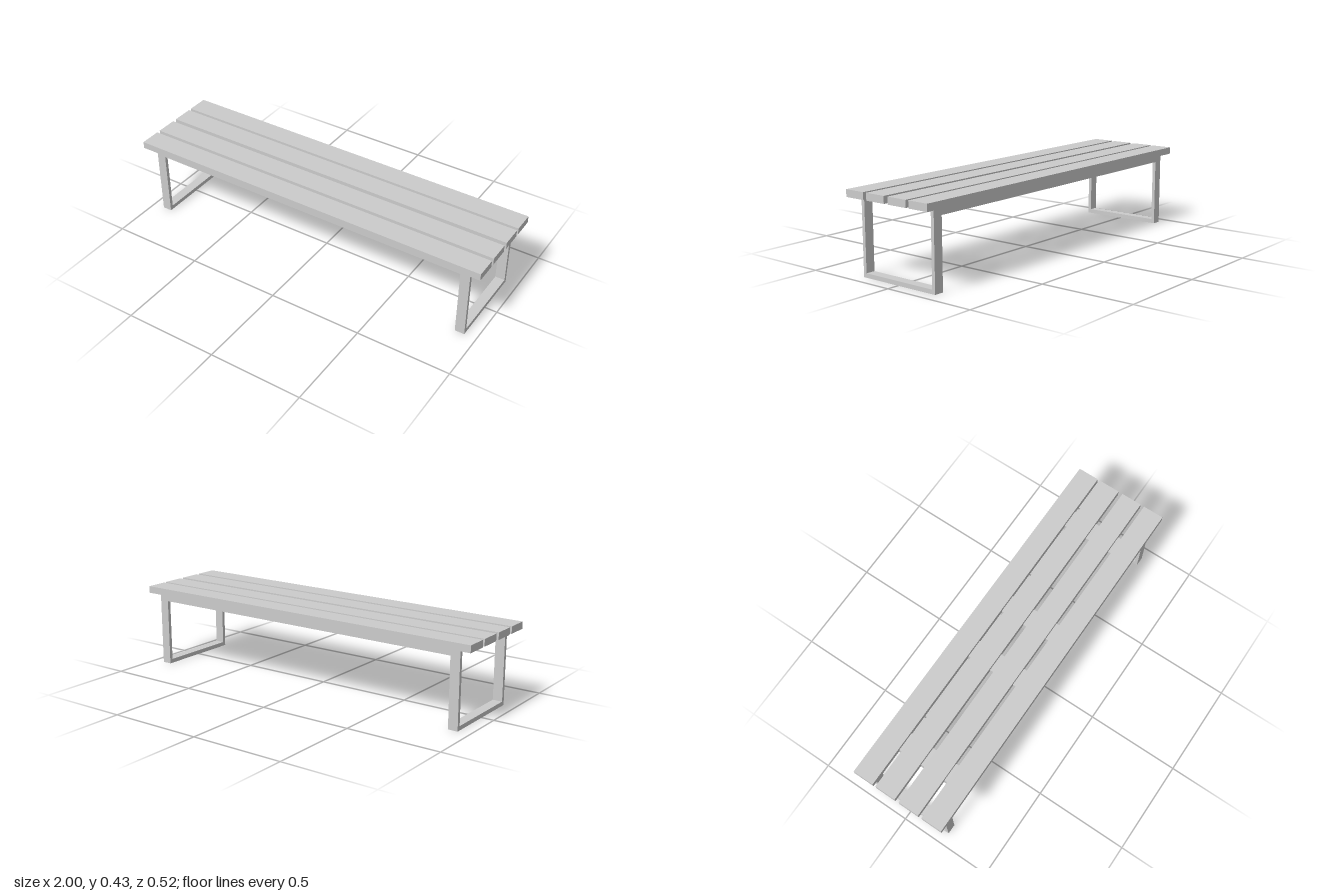
import * as THREE from 'three';

export function createModel() {
  const bench = new THREE.Group();
  bench.name = 'bench';
  const material = new THREE.MeshStandardMaterial({ color: 0xcccccc, flatShading: true });

  // Box given by its extents along each axis
  function block(name, [x0, x1], [y0, y1], [z0, z1], parent = bench) {
    const mesh = new THREE.Mesh(new THREE.BoxGeometry(x1 - x0, y1 - y0, z1 - z0), material);
    mesh.position.set((x0 + x1) / 2, (y0 + y1) / 2, (z0 + z1) / 2);
    mesh.name = name;
    parent.add(mesh);
  }

  const slatBottom = 0.393, slatTop = 0.43;
  const front = [0.209, 0.227], back = [-0.235, -0.217];
  const legInner = 0.885, legOuter = 0.936;

  // Four seat slats running the full length
  for (const z of [0.202, 0.068, -0.07, -0.201]) {
    block('seatSlat', [-1, 1], [slatBottom, slatTop], [z - 0.057, z + 0.057]);
  }

  // Leg frames: two posts joined by a foot bar at each end
  for (const side of [-1, 1]) {
    const frame = new THREE.Group();
    frame.name = side > 0 ? 'leftLegFrame' : 'rightLegFrame';
    const x = side > 0 ? [legInner, legOuter] : [-legOuter, -legInner];
    block('frontPost', x, [0, slatBottom], front, frame);
    block('backPost', x, [0, slatBottom], back, frame);
    block('footBar', x, [0, 0.022], [back[1], front[0]], frame);
    bench.add(frame);
  }

  // Long rails between the posts
  block('frontRail', [-legInner, legInner], [0.357, slatBottom], front);
  block('backRail', [-legInner, legInner], [0.357, slatBottom], back);

  // Cross battens, let into the underside of the slats
  for (const x of [-0.737, -0.15, 0.145, 0.732]) {
    block('crossBatten', [x - 0.05, x + 0.05], [0.357, 0.408], [back[1], front[0]]);
  }

  return bench;
}
